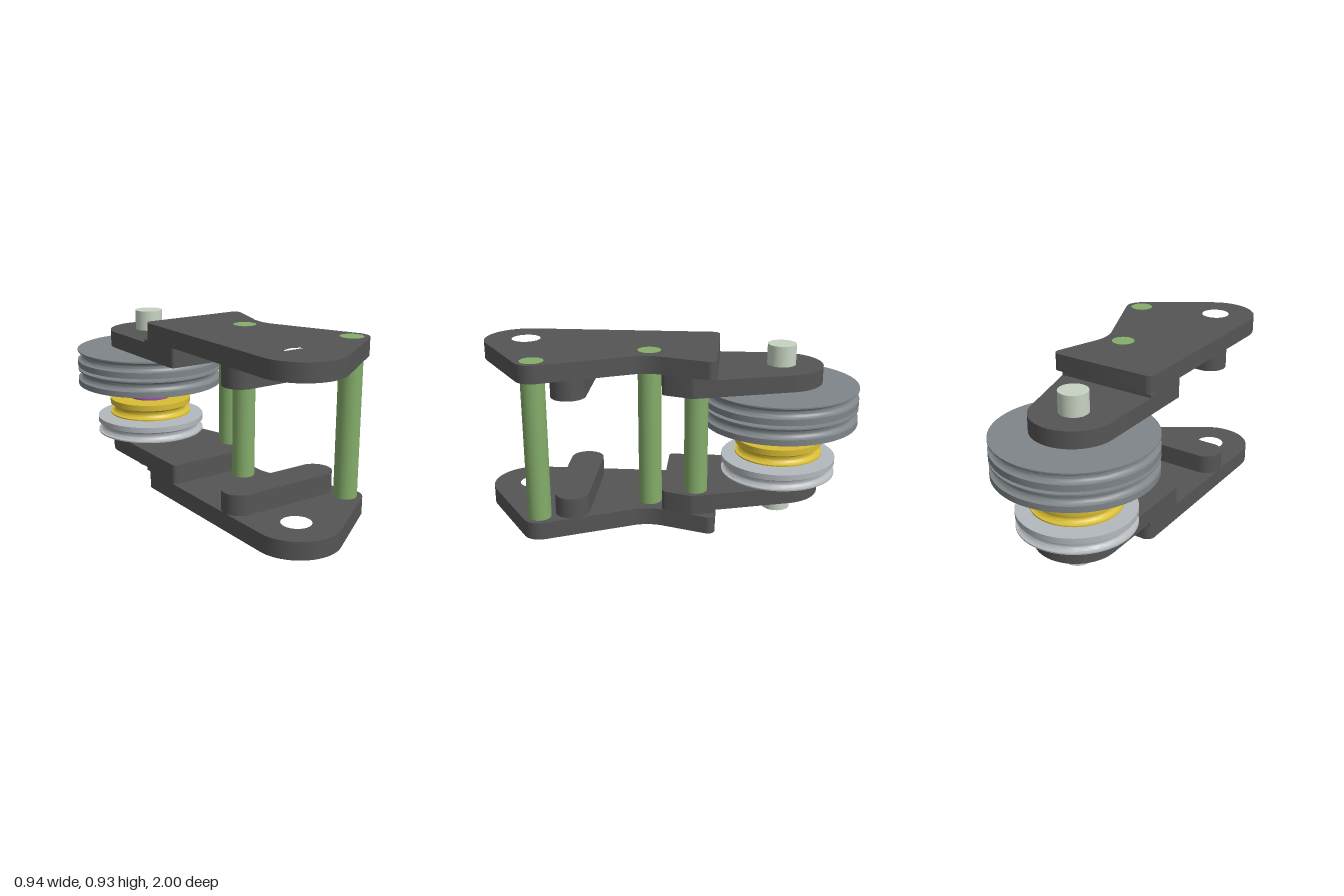
import * as THREE from 'three';
import { toCreasedNormals } from 'three/addons/utils/BufferGeometryUtils.js';

const HEIGHT = 0.93;
const AXLE = [-0.055, -0.585];
const mat = (color) => new THREE.MeshStandardMaterial({ color });
const dark = mat(0x555555), green = mat(0x84ad6a), axleGrey = mat(0xc8d3c3), spacerGrey = mat(0xb4b4b4);
const steel = mat(0x7f8589), silver = mat(0xb4b9be), yellow = mat(0xd9bd35), purple = mat(0xa54aae);

// Closed outline from [x, z, radius] corners, each rounded with a true arc
function roundedOutline(corners) {
  const shape = new THREE.Shape();
  const pts = corners.map(([x, z]) => new THREE.Vector2(x, -z));
  const n = pts.length;
  pts.forEach((p, i) => {
    const r = corners[i][2];
    const u = pts[(i + n - 1) % n].clone().sub(p).normalize();
    const v = pts[(i + 1) % n].clone().sub(p).normalize();
    if (!r) {
      if (i) shape.lineTo(p.x, p.y); else shape.moveTo(p.x, p.y);
      return;
    }
    const half = Math.acos(u.dot(v)) / 2;
    const t = r / Math.tan(half);
    const c = u.clone().add(v).normalize().multiplyScalar(r / Math.sin(half)).add(p);
    const s = u.clone().multiplyScalar(t).add(p);
    const e = v.clone().multiplyScalar(t).add(p);
    if (i) shape.lineTo(s.x, s.y); else shape.moveTo(s.x, s.y);
    const clockwise = u.cross(v) > 0;
    shape.absarc(c.x, c.y, r, Math.atan2(s.y - c.y, s.x - c.x), Math.atan2(e.y - c.y, e.x - c.x), clockwise);
  });
  shape.closePath();
  return shape;
}

// Horizontal slab between two heights
function slab(name, shape, y0, y1) {
  const geo = new THREE.ExtrudeGeometry(shape, { depth: y1 - y0, bevelEnabled: false, curveSegments: 20 });
  geo.rotateX(-Math.PI / 2).translate(0, y0, 0);
  const mesh = new THREE.Mesh(toCreasedNormals(geo, 0.5), dark);
  mesh.name = name;
  return mesh;
}

function rod(name, [x, z], r, y0, y1, material) {
  const mesh = new THREE.Mesh(new THREE.CylinderGeometry(r, r, y1 - y0, 48), material);
  mesh.position.set(x, (y0 + y1) / 2, z);
  mesh.name = name;
  return mesh;
}

// Wheel with a half-round groove cut into its rim
function pulley(name, r, y0, y1, grooveY, material) {
  const g = 0.026;
  const profile = [[0, y0], [r, y0]];
  for (let i = 0; i <= 12; i++) {
    const a = (i / 12) * Math.PI;
    profile.push([r - 0.004 - g * Math.sin(a), grooveY - g * Math.cos(a)]);
    if (i === 0) profile.splice(2, 0, [r, grooveY - g]);
  }
  profile.push([r, grooveY + g], [r, y1], [0, y1]);
  const geo = new THREE.LatheGeometry(profile.map(([x, y]) => new THREE.Vector2(x, y)), 72);
  const mesh = new THREE.Mesh(toCreasedNormals(geo, 0.6), material);
  mesh.position.set(AXLE[0], 0, AXLE[1]);
  mesh.name = name;
  return mesh;
}

export function createModel() {
  const model = new THREE.Group();
  model.name = 'pulleyBracket';

  // Outlines of the side plate, the offset arm, its spacer pad and the rib
  const plate = roundedOutline([
    [-0.275, -0.255, 0.045], [0.342, -0.255, 0.035], [0.229, 0.101, 0.22],
    [0.4885, 0.6825, 0.09], [0.012, 1.0, 0.22], [-0.275, 1.0, 0.22],
  ]);
  const hole = new THREE.Path();
  hole.absarc(-0.055, -0.778, 0.077, 0, Math.PI * 2, true);
  plate.holes.push(hole);
  const arm = roundedOutline([
    [-0.275, -0.805, 0.22], [0.11, -0.805, 0.22], [0.3045, -0.136, 0.04],
    [0.253, 0.025, 0.03], [-0.275, 0.025, 0.02],
  ]);
  const pad = roundedOutline([
    [-0.275, -0.255, 0], [0.27, -0.255, 0], [0.3045, -0.136, 0.04],
    [0.253, 0.025, 0.03], [-0.275, 0.025, 0.02],
  ]);
  const rib = roundedOutline([
    [-0.275, 0.4, 0.0899], [0.394, 0.4, 0.0899], [0.394, 0.58, 0.0899], [-0.275, 0.58, 0.0899],
  ]);

  // Lower and upper frames mirror each other in height
  for (const upper of [false, true]) {
    const frame = new THREE.Group();
    frame.name = upper ? 'upperFrame' : 'lowerFrame';
    const add = (name, shape, a, b) =>
      frame.add(upper ? slab(name, shape, HEIGHT - b, HEIGHT - a) : slab(name, shape, a, b));
    add('plate', plate, 0, 0.093);
    add('pad', pad, 0.093, 0.11);
    add('arm', arm, 0.11, 0.2);
    add('rib', rib, 0.093, 0.2);
    model.add(frame);
  }

  // Tie posts
  model.add(
    rod('frontPost', [0.375, 0.652], 0.061, -0.0005, HEIGHT + 0.0005, green),
    rod('middlePost', [0.13, 0.097], 0.061, -0.0005, HEIGHT + 0.0005, green),
    rod('rearPost', [0.212, -0.15], 0.061, 0.19, 0.74, green),
  );

  // Axle with spacers and collar
  model.add(rod('axle', AXLE, 0.076, 0, HEIGHT, axleGrey));
  [[0.2, 0.22], [0.31, 0.327], [0.603, 0.62], [0.712, 0.73]].forEach(([a, b], i) =>
    model.add(rod('spacer' + (i + 1), AXLE, 0.092, a, b, spacerGrey)));
  model.add(rod('collar', AXLE, 0.123, 0.418, 0.513, purple));

  // Grooved wheels
  model.add(
    pulley('lowerPulley', 0.308, 0.22, 0.31, 0.253, silver),
    pulley('smallPulley', 0.235, 0.327, 0.418, 0.36, yellow),
    pulley('largePulleyLower', 0.415, 0.513, 0.604, 0.571, steel),
    pulley('largePulleyUpper', 0.415, 0.62, 0.712, 0.679, steel),
  );
  return model;
}
